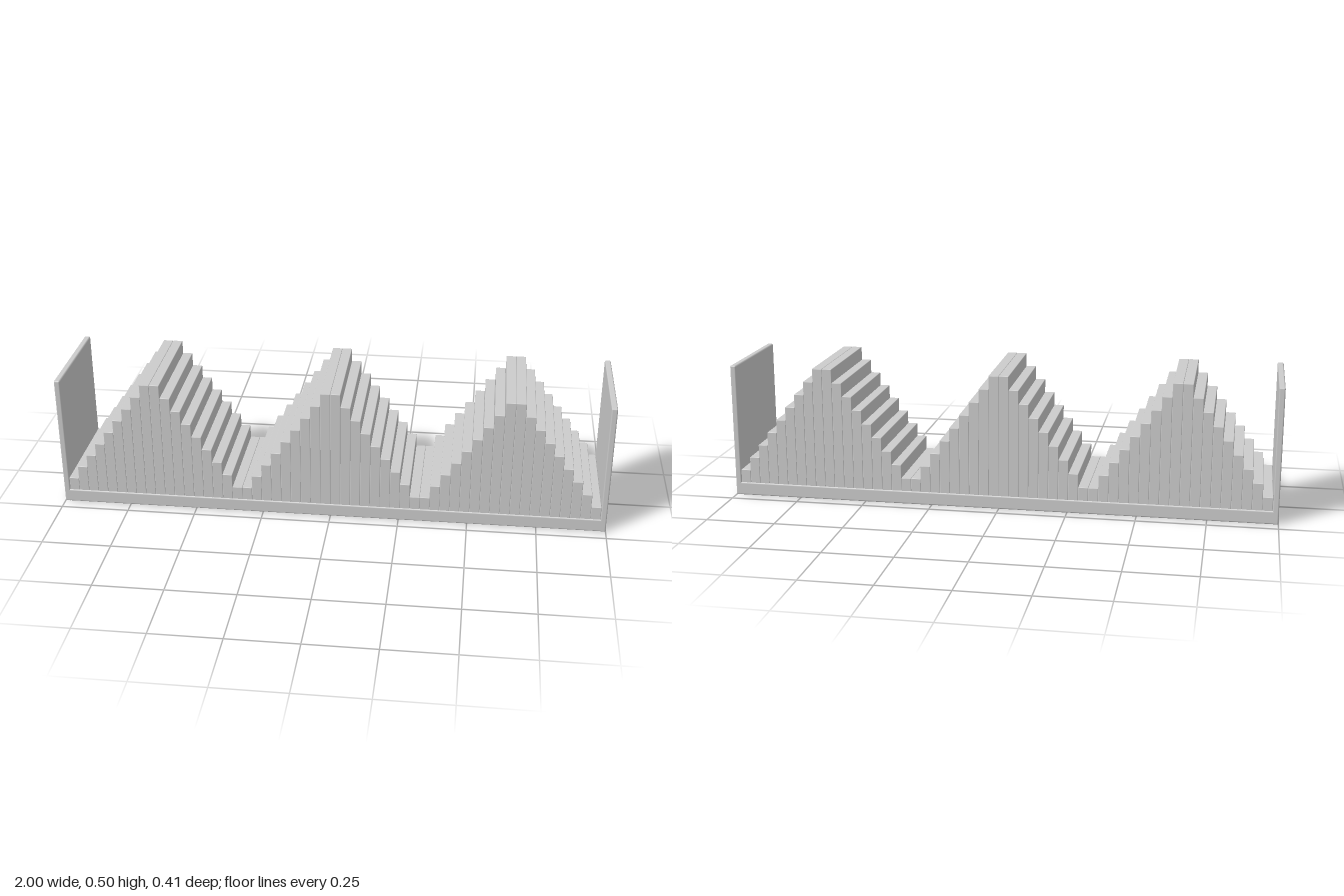
import * as THREE from 'three';
import { RoundedBoxGeometry } from 'three/addons/geometries/RoundedBoxGeometry.js';

export function createModel() {
  const group = new THREE.Group();
  const material = new THREE.MeshStandardMaterial({ color: 0xcccccc });

  // Box with slightly softened edges, standing on height y
  const addBlock = (name, w, h, d, x, y, bevel) => {
    const mesh = new THREE.Mesh(new RoundedBoxGeometry(w, h, d, 1, bevel), material);
    mesh.name = name;
    mesh.position.set(x, y + h / 2, 0);
    group.add(mesh);
  };

  const height = 0.495, depth = 0.412, panel = 0.022, baseHeight = 0.05;

  // Base plate
  addBlock('base', 1.996, baseHeight, depth, 0, 0, 0.006);

  // Tall end panels
  for (const side of [-1, 1]) {
    addBlock(side > 0 ? 'leftEndPanel' : 'rightEndPanel',
      panel, height, depth, side * (1 - panel / 2), 0, 0.005);
  }

  // Three stepped hills of upright slats, each rising and falling in nine steps
  const hills = 3, steps = 9, count = hills * steps * 2;
  const inner = 2 - panel * 2, pitch = inner / count;
  for (let i = 0; i < count; i++) {
    const k = i % (steps * 2);
    const level = k < steps ? k : steps * 2 - 1 - k;
    const top = 0.098 + level * (height - 0.098) / (steps - 1);
    addBlock('slat', pitch, top - 0.04, 0.405, -inner / 2 + (i + 0.5) * pitch, 0.04, 0.002);
  }
  return group;
}
